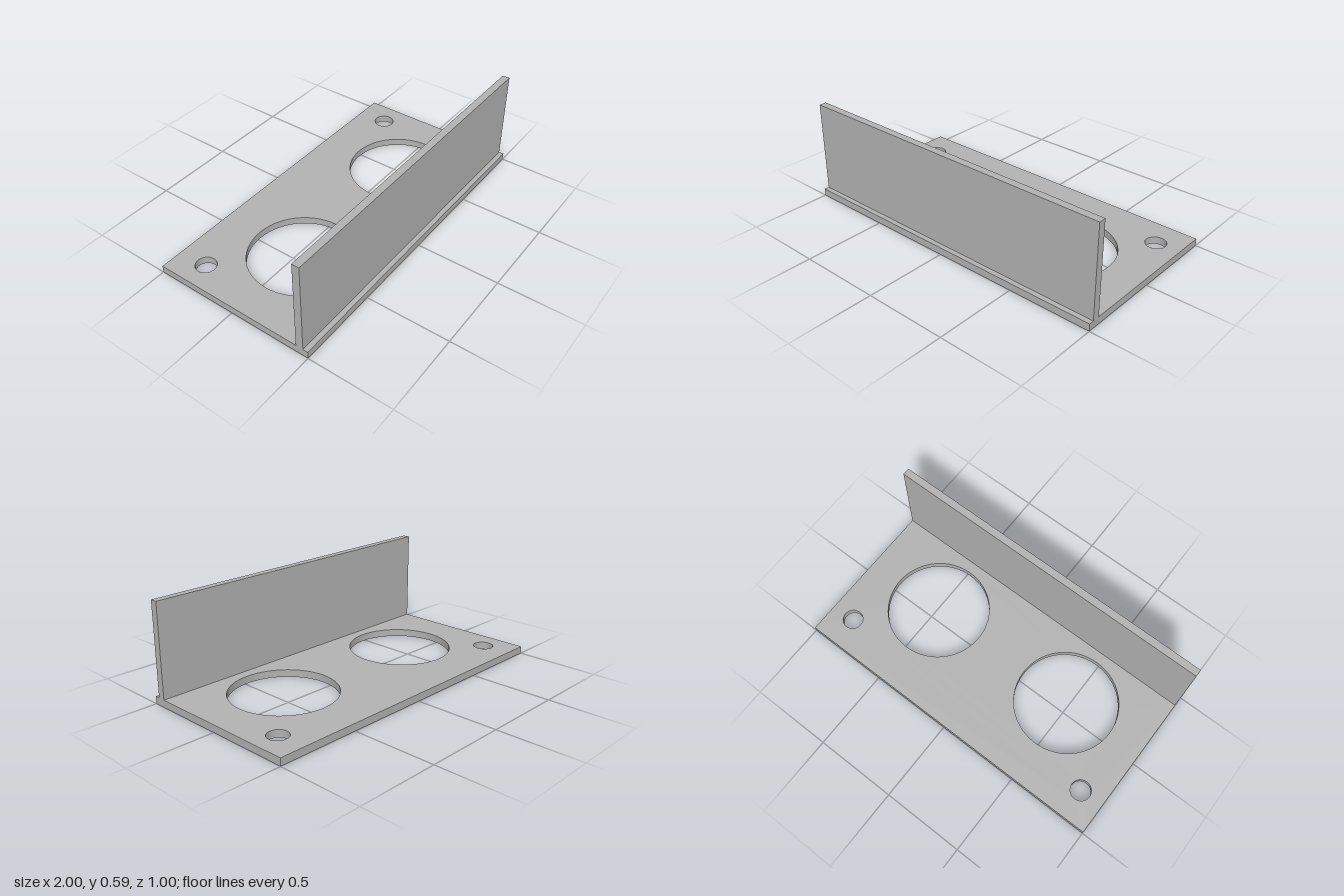
import * as THREE from 'three';

const THICK = 0.044; // sheet thickness

export function createModel() {
  const model = new THREE.Group();
  model.name = 'bracket';
  const grey = new THREE.MeshStandardMaterial({ color: 0xb2b2b2 });
  grey.name = 'grey';

  // Base plate outline, drawn with shape y = -z
  const outline = new THREE.Shape([
    new THREE.Vector2(-1, -0.5), new THREE.Vector2(1, -0.5),
    new THREE.Vector2(1, 0.5), new THREE.Vector2(-1, 0.5),
  ]);
  const addHole = (x, z, radius) => {
    const hole = new THREE.Path();
    hole.absarc(x, -z, radius, 0, Math.PI * 2, true);
    outline.holes.push(hole);
  };

  // Large openings and small screw holes, mirrored left and right
  for (const side of [-1, 1]) {
    addHole(side * 0.482, 0.053, 0.309);
    addHole(side * 0.853, -0.318, 0.06);
  }
  const plateGeometry = new THREE.ExtrudeGeometry(outline, {
    depth: THICK, bevelEnabled: false, curveSegments: 64,
  });
  plateGeometry.rotateX(-Math.PI / 2);
  const plate = new THREE.Mesh(plateGeometry, grey);
  plate.name = 'basePlate';
  model.add(plate);

  // Upright wall set slightly behind the front edge
  const wallHeight = 0.594 - THICK;
  const wall = new THREE.Mesh(new THREE.BoxGeometry(2, wallHeight, THICK), grey);
  wall.name = 'uprightWall';
  wall.position.set(0, THICK + wallHeight / 2, 0.448);
  model.add(wall);

  return model;
}
